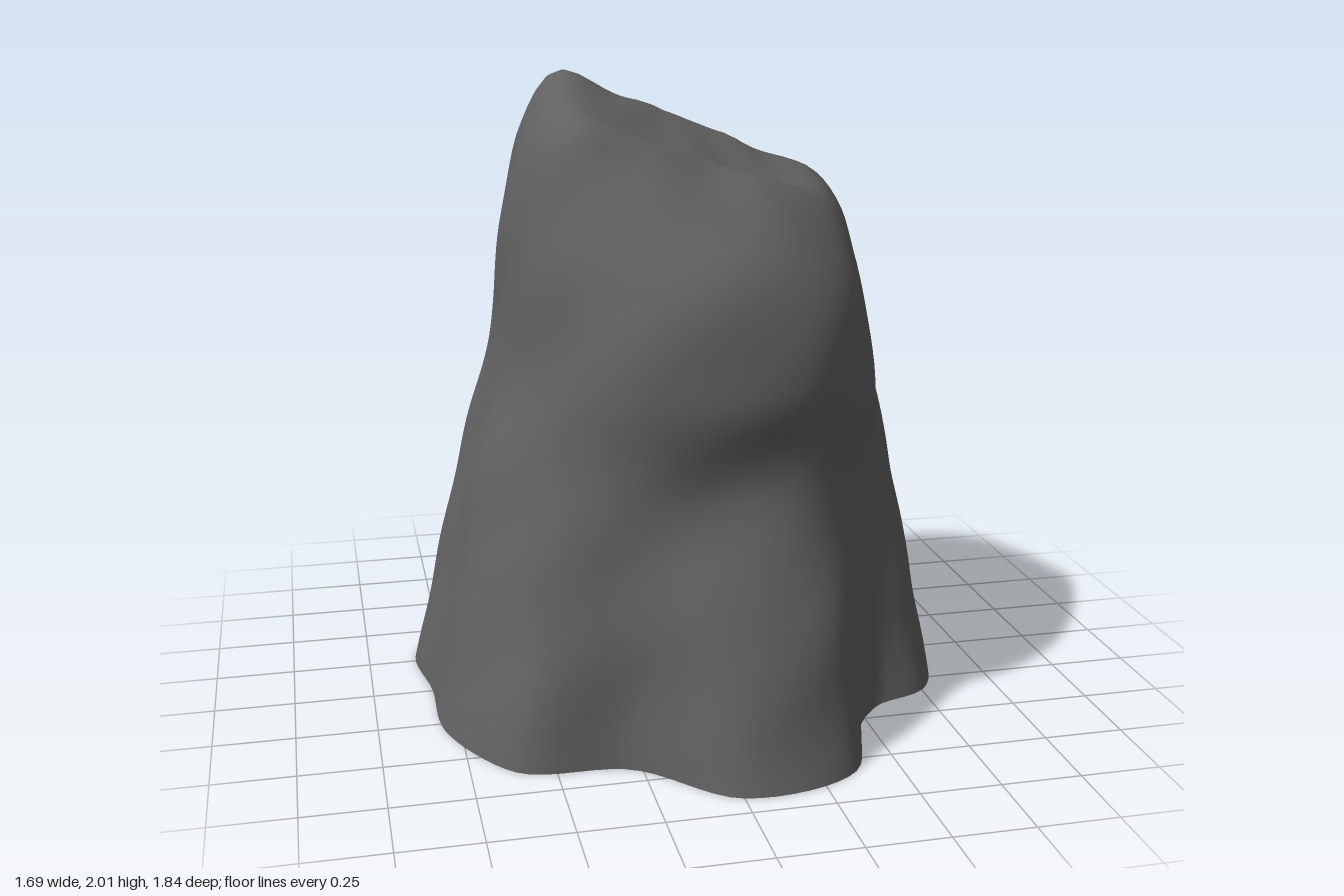
import * as THREE from 'three';

// A cross-section: 16 radii turning from +x towards +z, lifted by a height rule
const ring = (height, radii) => radii.map((radius, i) => {
  const a = (i / radii.length) * Math.PI * 2;
  const x = radius * Math.cos(a), z = radius * Math.sin(a);
  return new THREE.Vector3(x, height(x, z), z);
});

// Sloping top: high on the right, falling to the left and the rear, rounded at the front
const crownHeight = (x, z) =>
  1.865 - 0.4 * x - (z < 0.13 ? 0.5 * (0.13 - z) : 3 * (z - 0.13) ** 2);

const base = [.84, .83, .71, .91, .92, .73, .86, .85, .81, .89, .73, .68, .63, .68, .78, .74];
const waist = [.69, .68, .69, .71, .69, .71, .72, .70, .66, .70, .64, .59, .56, .62, .72, .70];
const chest = [.61, .62, .69, .75, .75, .74, .66, .61, .59, .61, .61, .59, .60, .64, .71, .67];
const brow = [.55, .57, .64, .69, .69, .66, .62, .58, .55, .53, .50, .46, .47, .52, .60, .58];
const shoulder = [.50, .52, .50, .42, .37, .42, .52, .51, .48, .44, .43, .42, .42, .45, .50, .51];

// Local ridges (+) and grooves (-): angle in degrees, height, angular width, vertical width, depth
const features = [
  [217, 0.05, 5, .45, .10],   // rear right buttress edge
  [226, 0.15, 3, .30, -.03],  // crack beside the buttress
  [304, 0.20, 7, .22, .06],   // corner of the rear foot
  [270, 1.33, 40, .08, -.04], // ledge at the rear
  [85, 0.48, 25, .28, .05],   // swelling of the front foot
  [34, 0.25, 6, .40, -.04],   // seam left of the front face
  [131, 0.05, 10, .35, .02],  // front right toe
];

const turn = (deg, from) => ((deg - from + 540) % 360) - 180;

function relief(deg, y) {
  // Rear foot: a broad block with a sloping shelf on top
  const shelf = 1 - THREE.MathUtils.smoothstep(y, 0.38, 0.74);
  let d = 0.29 * shelf * Math.exp(-((turn(deg, 287) / 30) ** 4));
  for (const [a, h, wa, wh, depth] of features) {
    d += depth * Math.exp(-((turn(deg, a) / wa) ** 2) - ((y - h) / wh) ** 2);
  }
  return d;
}

function createRockGeometry() {
  const around = 120, up = 64;
  // Smooth closed outlines, the crown being the shoulder drawn in
  const outlines = [
    ring(() => 0.01, base),
    ring(() => 0.82, waist),
    ring(() => 1.15, chest),
    ring((x) => 1.48 - 0.14 * x, brow),
    ring((x, z) => 1.69 - 0.3 * x + 0.2 * z, shoulder),
    ring(crownHeight, shoulder.map((r) => r * 0.8)),
    ring(crownHeight, shoulder.map((r) => r * 0.4)),
  ].map((points) => new THREE.CatmullRomCurve3(points, true));

  // One smooth rib from the ground to the crown for each angle
  const crown = new THREE.Vector3(0, crownHeight(0, 0.02), 0.02);
  const pos = [], index = [];
  for (let i = 0; i < around; i++) {
    const rib = new THREE.CatmullRomCurve3([...outlines.map((o) => o.getPoint(i / around)), crown]);
    for (let j = 0; j < up; j++) {
      const p = rib.getPointAt(j / up);
      const radius = Math.hypot(p.x, p.z), a = Math.atan2(p.z, p.x);
      const deg = (THREE.MathUtils.radToDeg(a) + 360) % 360;
      const grain = 0.006 * Math.sin(5 * a + 6 * p.y) * Math.sin(9 * p.y + 3 * a);
      const k = 1 + Math.min(1, radius / 0.4) * (relief(deg, p.y) + grain) / radius;
      pos.push(p.x * k, p.y, p.z * k);
    }
  }
  const top = pos.length / 3;
  pos.push(crown.x, crown.y, crown.z);

  for (let i = 0; i < around; i++) {
    const a = i * up, b = ((i + 1) % around) * up;
    for (let j = 0; j < up - 1; j++) {
      index.push(a + j, a + j + 1, b + j, b + j, a + j + 1, b + j + 1);
    }
    index.push(a + up - 1, top, b + up - 1);
  }

  const geometry = new THREE.BufferGeometry();
  geometry.setAttribute('position', new THREE.Float32BufferAttribute(pos, 3));
  geometry.setIndex(index);
  geometry.computeVertexNormals();
  return geometry;
}

export function createModel() {
  const group = new THREE.Group();
  group.name = 'boulder';
  // Dark stone, open underneath, so both sides show
  const material = new THREE.MeshStandardMaterial({ color: 0x626262, side: THREE.DoubleSide });
  const rock = new THREE.Mesh(createRockGeometry(), material);
  rock.name = 'rock';
  group.add(rock);
  return group;
}
